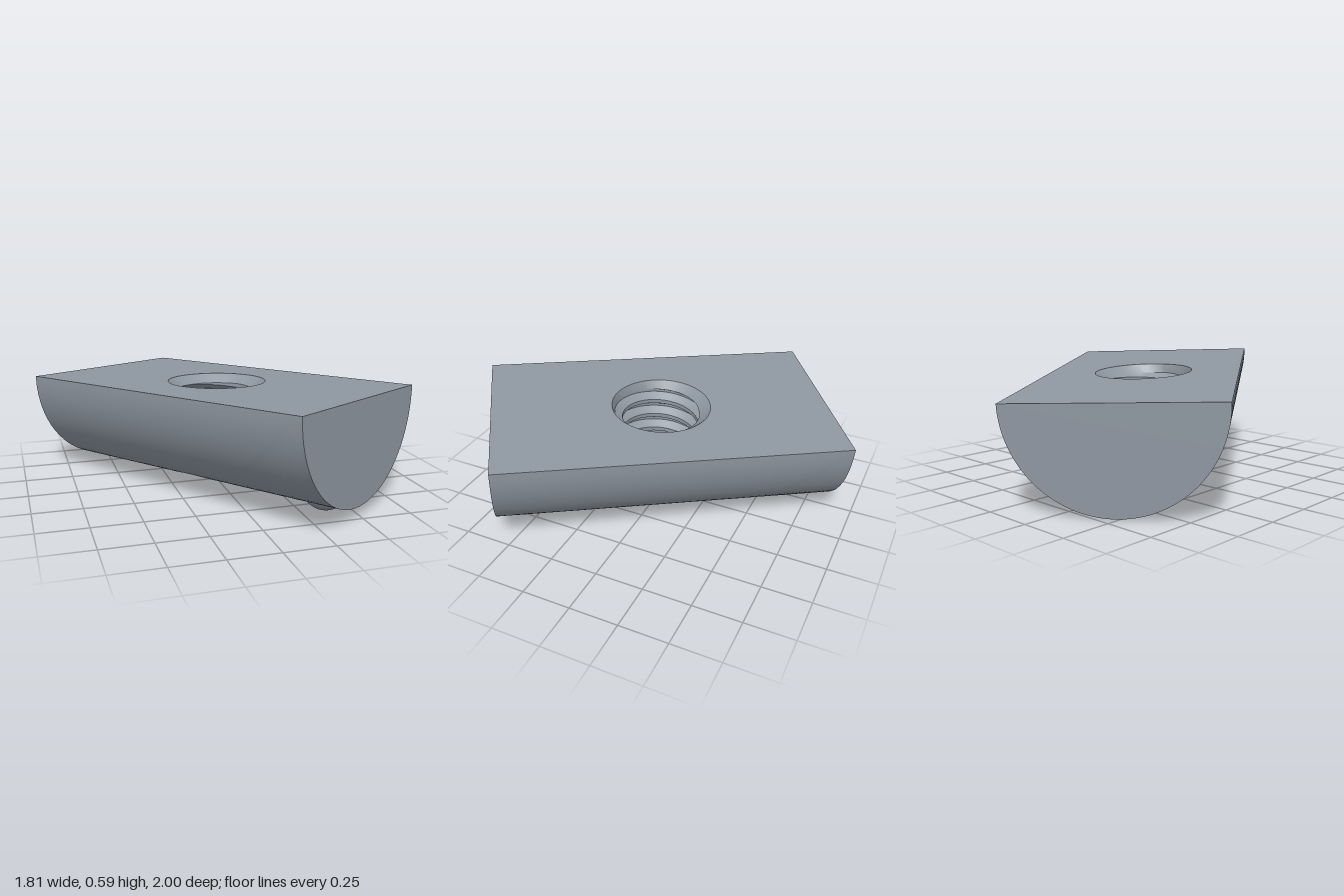
import * as THREE from 'three';
import { toCreasedNormals } from 'three/addons/utils/BufferGeometryUtils.js';

const HALF_W = 0.5055, DEPTH = 0.515, HALF_L = 0.866;   // half-round bar
const R_TOP = 0.255, R_BOTTOM = 0.22;                   // hole rims
const R_MINOR = 0.2, R_MAJOR = 0.242, PITCH = 0.09;     // thread
const CHAMFER = 0.045;

// Surface from a rule: point(row, column) over a regular grid
function grid(rows, cols, point) {
  const pos = [], index = [];
  for (let i = 0; i < rows; i++) for (let j = 0; j < cols; j++) pos.push(...point(i, j));
  for (let i = 0; i < rows - 1; i++) for (let j = 0; j < cols - 1; j++) {
    const a = i * cols + j, c = a + cols;
    index.push(a, a + 1, c, a + 1, c + 1, c);
  }
  const g = new THREE.BufferGeometry();
  g.setAttribute('position', new THREE.Float32BufferAttribute(pos, 3));
  g.setIndex(index);
  return toCreasedNormals(g, 0.5);
}

// Points around a square, used to fan the hole out to the bar's edges
const SIDE = 32, perimeter = [];
for (let s = 0; s < 4; s++) for (let k = 0; k < SIDE; k++) {
  const t = -1 + 2 * k / SIDE;
  perimeter.push([[t, 1], [1, -t], [-t, -1], [-1, t]][s]);
}
perimeter.push(perimeter[0]);
const angles = perimeter.map(([a, b], j) => {
  const t = Math.atan2(a, b);
  return j > 0 && t < -Math.PI / 4 + 1e-6 ? t + 2 * Math.PI : t;
});

const barPoint = (phi, z) => [HALF_W * Math.sin(phi), -DEPTH * Math.cos(phi), z];
const rimPhi = (t) => Math.asin(R_BOTTOM * Math.sin(t) / HALF_W);

// Thread radius at a height and angle
function threadRadius(h, t) {
  let f = h / PITCH - t / (2 * Math.PI);
  f -= Math.floor(f);
  const k = f < 0.25 ? 0 : f < 0.55 ? (f - 0.25) / 0.3 : f < 0.7 ? 1 : (1 - f) / 0.3;
  return R_MINOR + (R_MAJOR - R_MINOR) * k;
}

export function createModel() {
  const steel = new THREE.MeshStandardMaterial({ color: 0x8f98a2 });
  steel.name = 'steel';
  const model = new THREE.Group();
  model.name = 'slotNut';
  const nut = new THREE.Group();
  nut.name = 'nut';
  model.add(nut);
  const add = (name, geometry) => {
    const m = new THREE.Mesh(geometry, steel);
    m.name = name;
    nut.add(m);
    return m;
  };

  // Flat top with the hole
  const top = new THREE.Shape([[-1, -1], [1, -1], [1, 1], [-1, 1]]
    .map(([x, y]) => new THREE.Vector2(x * HALF_W, y * HALF_L)));
  top.holes.push(new THREE.Path(angles.slice(0, -1)
    .map((t) => new THREE.Vector2(R_TOP * Math.sin(t), -R_TOP * Math.cos(t)))));
  add('topFace', new THREE.ShapeGeometry(top).rotateX(-Math.PI / 2));

  // Half-round underside, fanned from the hole's rim to the edges
  const STEPS = 20;
  add('roundUnderside', grid(STEPS + 1, angles.length, (i, j) => {
    const [a, b] = perimeter[j], t = angles[j], k = i / STEPS;
    return barPoint(
      THREE.MathUtils.lerp(rimPhi(t), a * Math.PI / 2, k),
      THREE.MathUtils.lerp(R_BOTTOM * Math.cos(t), b * HALF_L, k));
  }));

  // Half-round ends
  const arc = [];
  for (let i = 0; i <= 64; i++) {
    const [x, y] = barPoint(-Math.PI / 2 + Math.PI * i / 64, 0);
    arc.push(new THREE.Vector2(x, y));
  }
  const end = new THREE.ShapeGeometry(new THREE.Shape(arc));
  add('frontEnd', end).position.z = HALF_L;
  const back = add('backEnd', end);
  back.position.z = -HALF_L;
  back.rotation.y = Math.PI;

  // Threaded hole: chamfer row, helical rows from top to bottom, rim row
  const turns = [];
  for (let k = 1; k >= -8; k--) for (const f of [0.7, 0.55, 0.25, 0]) turns.push(k + f);
  add('threadedHole', grid(turns.length + 2, angles.length, (i, j) => {
    const t = angles[j], bottom = -DEPTH * Math.cos(rimPhi(t));
    let r = R_TOP, h = 0;
    if (i > turns.length) {
      r = R_BOTTOM;
      h = bottom;
    } else if (i > 0) {
      h = (turns[i - 1] + t / (2 * Math.PI)) * PITCH;
      h = THREE.MathUtils.clamp(h, bottom + 0.01, -CHAMFER);
      r = threadRadius(h, t);
    }
    return [r * Math.sin(t), h, r * Math.cos(t)];
  }));

  // Detent ball under the front end
  add('detentBall', new THREE.SphereGeometry(0.115, 40, 24)).position.set(0, -0.452, 0.68);

  // Turn and tilt the nut
  const along = new THREE.Vector3(0.975, 0.055, 1.43).normalize();
  const up = along.clone().cross(new THREE.Vector3(0.835, -0.035, -0.57)).normalize();
  const across = up.clone().cross(along);
  nut.quaternion.setFromRotationMatrix(new THREE.Matrix4().makeBasis(across, up, along));
  nut.position.y = 0.545;
  return model;
}
